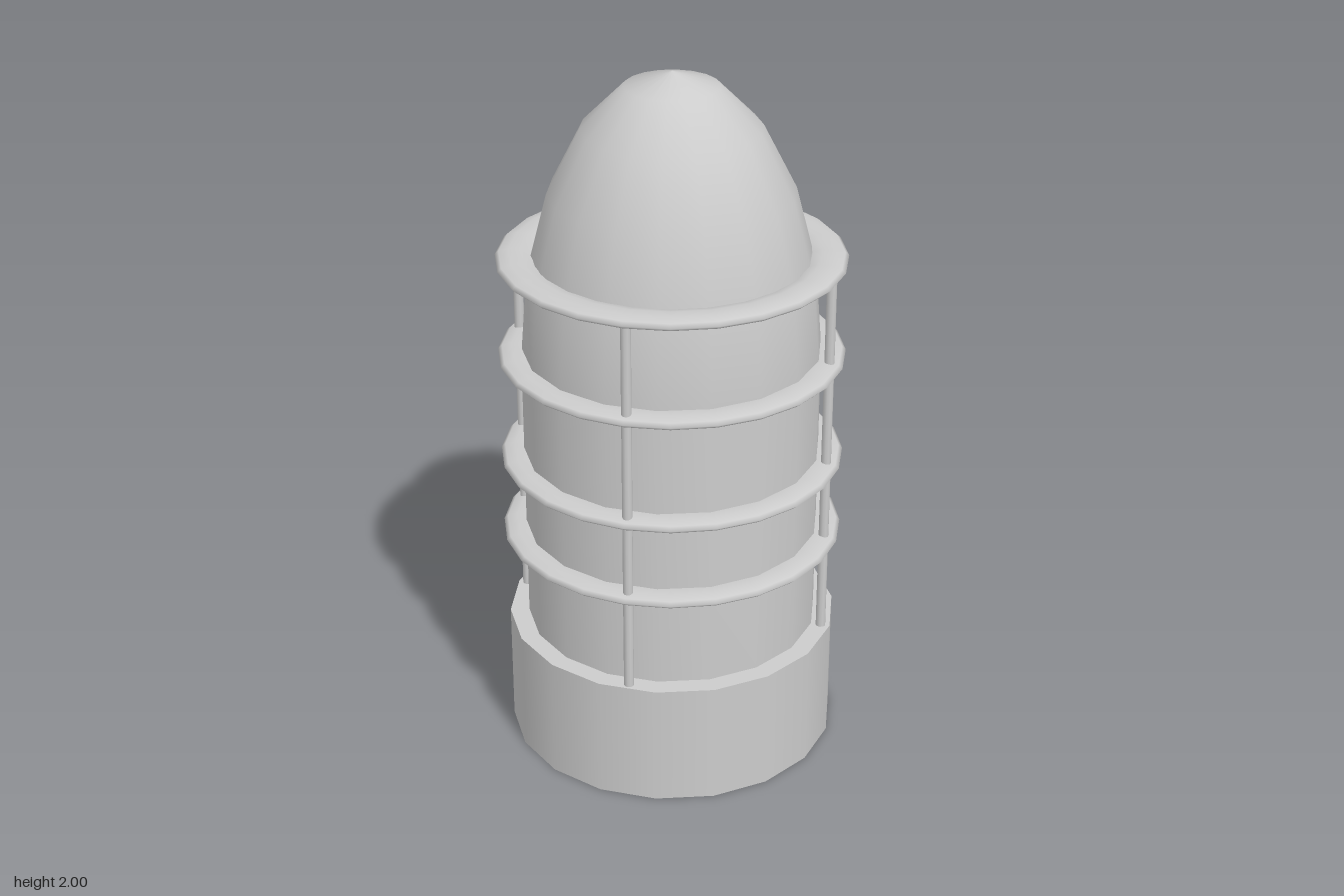
import * as THREE from 'three';

const SIDES = 18;

export function createModel() {
  const group = new THREE.Group();
  const material = new THREE.MeshStandardMaterial({ color: 0xcccccc });

  const add = (name, geometry, x = 0, y = 0, z = 0) => {
    const mesh = new THREE.Mesh(geometry, material);
    mesh.name = name;
    mesh.position.set(x, y, z);
    group.add(mesh);
    return mesh;
  };

  // Solid base drum, with corners on the x axis
  const base = new THREE.CylinderGeometry(0.475, 0.475, 0.36, SIDES);
  add('base', base.rotateY(Math.PI / 2), 0, 0.18, 0);

  // Lamp cover: straight wall running into a tall half-ellipsoid dome
  const profile = [new THREE.Vector2(0.42, 0.34)];
  for (let i = 5; i >= 0; i--) {
    const a = (i / 5) * Math.PI / 2;
    profile.push(new THREE.Vector2(0.42 * Math.sin(a), 1.18 + 0.82 * Math.cos(a)));
  }
  add('lampCover', new THREE.LatheGeometry(profile, SIDES).rotateY(Math.PI / 2));

  // Flattened guard rings around the cover
  for (const y of [0.645, 0.88, 1.19, 1.475]) {
    const ring = new THREE.TorusGeometry(0.43, 0.055, 10, 24);
    ring.rotateX(Math.PI / 2).scale(1, 0.31, 1);
    add('guardRing', ring, 0, y, 0);
  }

  // Four upright guard rods
  for (let i = 0; i < 4; i++) {
    const a = i * Math.PI / 2;
    const rod = new THREE.CylinderGeometry(0.014, 0.014, 1.13, 10);
    add('guardRod', rod, 0.448 * Math.cos(a), 0.91, 0.448 * Math.sin(a));
  }

  return group;
}
